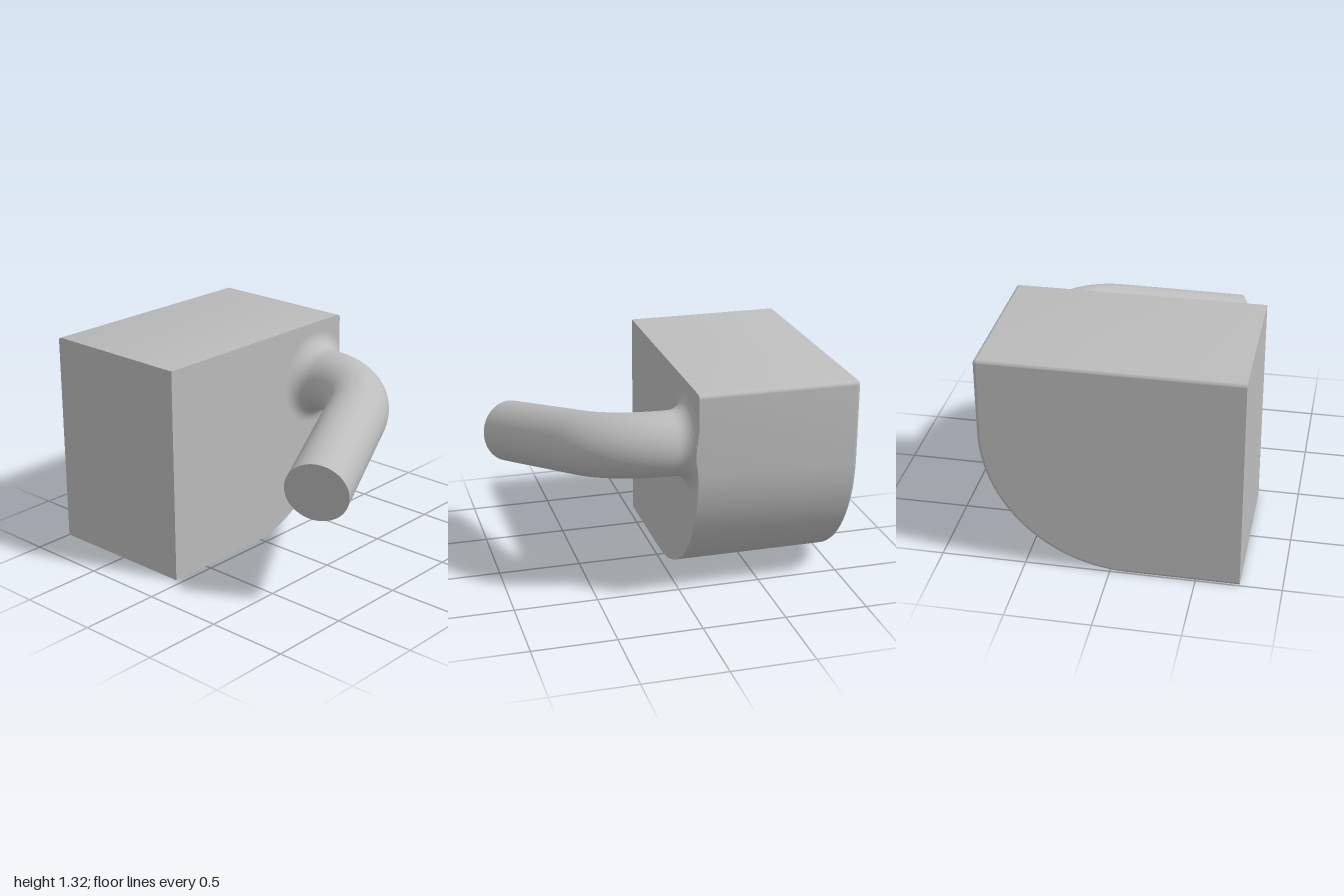
import * as THREE from 'three';
import { mergeGeometries, toCreasedNormals } from 'three/addons/utils/BufferGeometryUtils.js';

// Skins closed rings of points (counterclockwise seen from the last ring), with flat end caps.
function loft(rings) {
  const n = rings[0].length, walls = [], caps = [];
  const tri = (out, ...pts) => pts.forEach((p) => out.push(p.x, p.y, p.z));
  for (let i = 0; i < rings.length - 1; i++) {
    for (let j = 0; j < n; j++) {
      const k = (j + 1) % n;
      const a = rings[i][j], b = rings[i][k], c = rings[i + 1][k], d = rings[i + 1][j];
      tri(walls, a, b, c);
      tri(walls, a, c, d);
    }
  }
  const first = rings[0], last = rings[rings.length - 1];
  for (let j = 1; j < n - 1; j++) {
    tri(caps, first[0], first[j + 1], first[j]);
    tri(caps, last[0], last[j], last[j + 1]);
  }
  const make = (list) => new THREE.BufferGeometry()
    .setAttribute('position', new THREE.Float32BufferAttribute(list, 3));
  const side = toCreasedNormals(make(walls), 0.5);
  const ends = make(caps);
  ends.computeVertexNormals();
  return mergeGeometries([side, ends]);
}

const RIGHT = 0.75, LEFT = -0.755, TOP = 1.315, FRONT = -0.04, BACK = -1;

// Block outline, drawn in by d on every side but the left one.
function blockRing(d, z) {
  const pts = [new THREE.Vector3(LEFT, d, z)];
  const arc = (cx, cy, r, from, steps) => {
    for (let i = 0; i <= steps; i++) {
      const t = from + (i / steps) * Math.PI / 2;
      pts.push(new THREE.Vector3(cx + r * Math.cos(t), cy + r * Math.sin(t), z));
    }
  };
  arc(RIGHT - 0.85, 0.85, 0.85 - d, -Math.PI / 2, 40);
  arc(RIGHT - 0.025, TOP - 0.025, 0.025 - d, 0, 6);
  pts.push(new THREE.Vector3(LEFT, TOP - d, z));
  return pts;
}

function blockGeometry() {
  const rings = [], r = 0.02, steps = 6;
  // rounded back edge, then straight to the front
  for (let i = 0; i <= steps; i++) {
    const t = (i / steps) * Math.PI / 2;
    rings.push(blockRing(r * (1 - Math.sin(t)), BACK + r * (1 - Math.cos(t))));
  }
  rings.push(blockRing(0, FRONT));
  return loft(rings);
}

function pipeGeometry() {
  const root = new THREE.Vector3(0.515, 0.957, 0);
  const zAxis = new THREE.Vector3(0, 0, 1);
  const across = new THREE.Vector3(-0.976, -0.215, 0).normalize();
  const binormal = zAxis.clone().cross(across);
  const radius = 0.19, flare = 0.1, bend = 0.49, turn = 1.173;
  const rings = [];

  // A ring at (u across, z forward), facing along the given angle from z.
  const ring = (u, z, angle, r) => {
    const dir = zAxis.clone().multiplyScalar(Math.cos(angle)).addScaledVector(across, Math.sin(angle));
    const e1 = binormal.clone().cross(dir);
    const centre = root.clone().addScaledVector(across, u).addScaledVector(zAxis, z);
    const pts = [];
    for (let j = 0; j < 72; j++) {
      const t = (j / 72) * Math.PI * 2;
      const p = centre.clone().addScaledVector(e1, r * Math.cos(t)).addScaledVector(binormal, r * Math.sin(t));
      p.x = Math.min(p.x, RIGHT); // the flare is cut flush with the block side
      pts.push(p);
    }
    rings.push(pts);
  };

  // flared foot
  for (let i = 0; i <= 12; i++) {
    const t = (i / 12) * Math.PI / 2;
    ring(0, FRONT + flare * (1 - Math.cos(t)), 0, radius + flare * (1 - Math.sin(t)));
  }
  // bend
  const z0 = FRONT + flare;
  for (let i = 1; i <= 32; i++) {
    const t = (i / 32) * turn;
    ring(bend * (1 - Math.cos(t)), z0 + bend * Math.sin(t), t, radius);
  }
  // straight run
  const u1 = bend * (1 - Math.cos(turn)), z1 = z0 + bend * Math.sin(turn), length = 0.797;
  ring(u1 + length * Math.sin(turn), z1 + length * Math.cos(turn), turn, radius);
  return loft(rings);
}

export function createModel() {
  const group = new THREE.Group();
  const grey = new THREE.MeshStandardMaterial({ color: 0xbcbcbc });
  grey.name = 'grey';
  const add = (name, geometry) => {
    const mesh = new THREE.Mesh(geometry, grey);
    mesh.name = name;
    group.add(mesh);
  };
  add('block', blockGeometry());
  add('bentPipe', pipeGeometry());
  return group;
}
